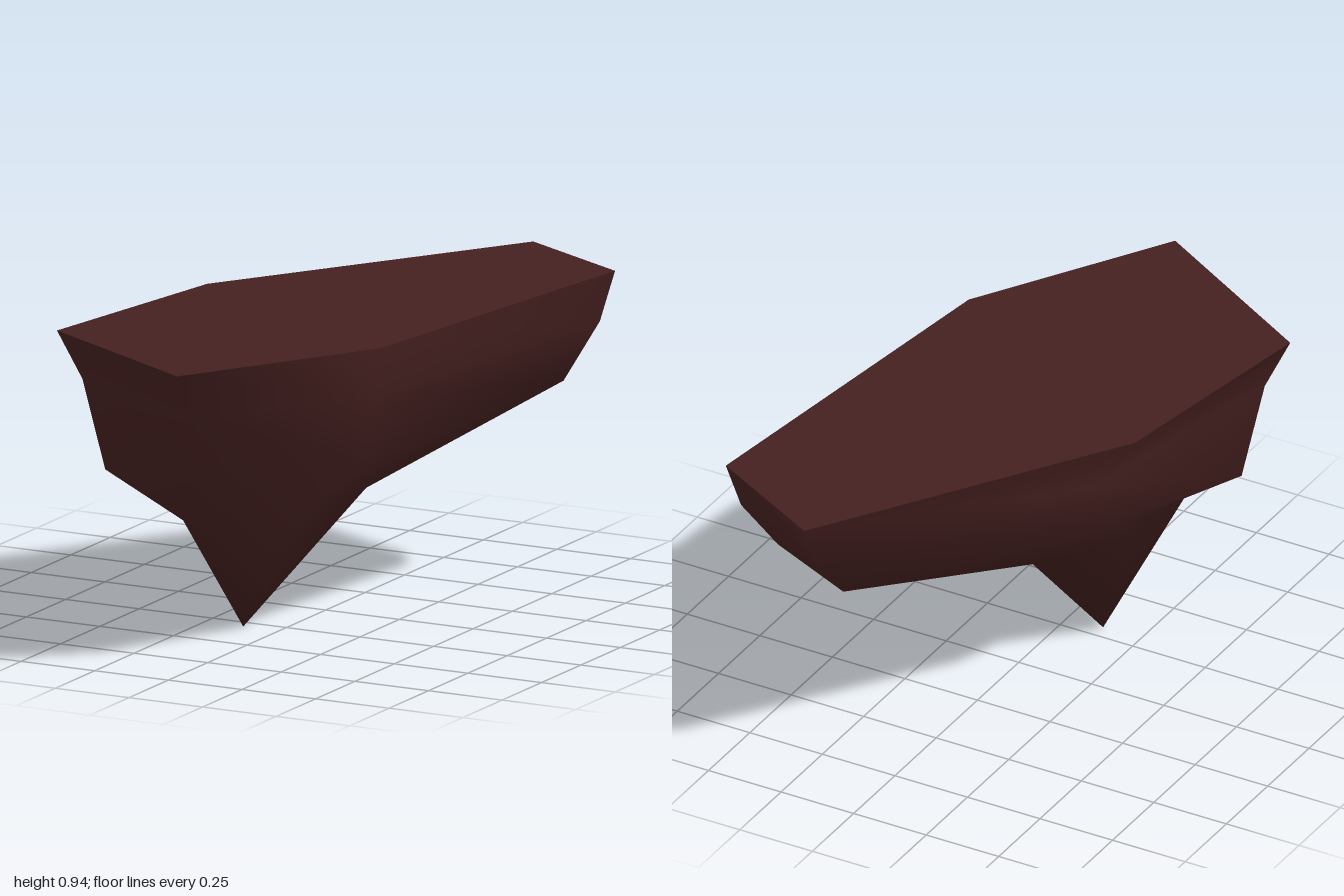
import * as THREE from 'three';

// Six-sided rings from the flat top down; each corner is [x, y, z],
// starting at the back and going round past +x to the front.
const RINGS = [
  [[0.17, 0.94, -1], [0.56, 0.94, -0.79], [0.4, 0.94, 0.4], [0.03, 0.94, 1], [-0.56, 0.94, 0.66], [-0.44, 0.94, -0.07]],
  [[0.16, 0.79, -0.935], [0.53, 0.79, -0.75], [0.385, 0.79, 0.39], [0.03, 0.79, 0.9], [-0.495, 0.79, 0.62], [-0.33, 0.79, -0.15]],
  [[0.155, 0.62, -0.79], [0.46, 0.62, -0.65], [0.315, 0.56, 0.34], [0.025, 0.71, 0.97], [-0.455, 0.5, 0.55], [-0.36, 0.62, -0.06]],
  [[-0.13, 0.4, -0.01], [0.18, 0.415, 0.08], [0.13, 0.4, 0.37], [-0.01, 0.41, 0.78], [-0.325, 0.445, 0.43], [-0.28, 0.42, 0.2]],
];
const TIP = [-0.12, 0, 0.3];
const SIDES = 6;

function meshFrom(name, points, index, material) {
  const geometry = new THREE.BufferGeometry();
  geometry.setAttribute('position', new THREE.Float32BufferAttribute(points.flat(), 3));
  geometry.setIndex(index);
  geometry.computeVertexNormals();
  const mesh = new THREE.Mesh(geometry, material);
  mesh.name = name;
  return mesh;
}

export function createModel() {
  const group = new THREE.Group();
  group.name = 'floatingRock';
  const stone = new THREE.MeshStandardMaterial({ color: 0x462020 });
  stone.name = 'dark red stone';

  // Smooth rocky underside: quads between rings, then a fan to the tip
  const points = [...RINGS.flat(), TIP];
  const tip = points.length - 1;
  const index = [];
  RINGS.forEach((ring, r) => {
    for (let i = 0; i < SIDES; i++) {
      const a = r * SIDES + i;
      const b = r * SIDES + ((i + 1) % SIDES);
      if (r === RINGS.length - 1) index.push(a, b, tip);
      else index.push(a, b, a + SIDES, b, b + SIDES, a + SIDES);
    }
  });
  group.add(meshFrom('rockUnderside', points, index, stone));

  // Flat top with a sharp rim
  const fan = [];
  for (let i = 1; i < SIDES - 1; i++) fan.push(0, i + 1, i);
  group.add(meshFrom('flatTop', RINGS[0], fan, stone));

  return group;
}
